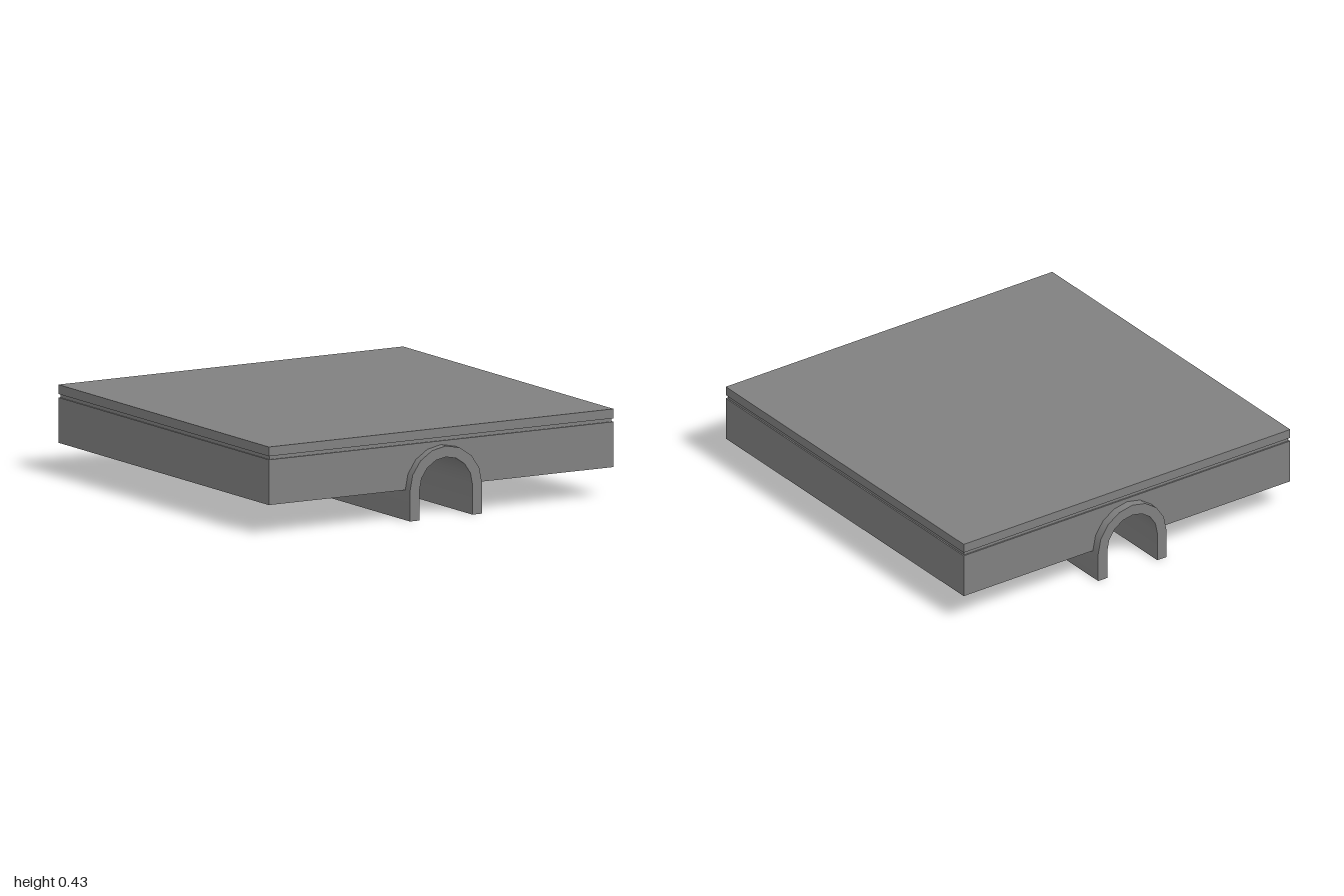
import * as THREE from 'three';
import { toCreasedNormals } from 'three/addons/utils/BufferGeometryUtils.js';

const HALF = 0.957;    // half width of the square slab
const SPRING = 0.145;  // slab underside, where the arch begins to curve
const OUTER = 0.2;     // arch radii
const INNER = 0.147;

// Points of a half circle from +x over the top to -x
function arc(radius, segments = 8) {
  return Array.from({ length: segments + 1 }, (_, i) => {
    const a = (i / segments) * Math.PI;
    return new THREE.Vector2(radius * Math.cos(a), SPRING + radius * Math.sin(a));
  });
}

// Extrude a front outline along z, centred on z = 0
function extrude(points, depth) {
  const geometry = new THREE.ExtrudeGeometry(new THREE.Shape(points), { depth, bevelEnabled: false });
  geometry.translate(0, 0, -depth / 2);
  return toCreasedNormals(geometry, Math.PI / 6);
}

export function createModel() {
  const group = new THREE.Group();
  const grey = new THREE.MeshStandardMaterial({ color: 0x808080 });
  grey.name = 'grey';

  function add(name, geometry) {
    const mesh = new THREE.Mesh(geometry, grey);
    mesh.name = name;
    group.add(mesh);
  }

  function plate(name, half, bottom, top) {
    const geometry = new THREE.BoxGeometry(half * 2, top - bottom, half * 2);
    geometry.translate(0, (bottom + top) / 2, 0);
    add(name, geometry);
  }

  // Slab with a tunnel cut for the arch
  const v = (x, y) => new THREE.Vector2(x, y);
  add('slab', extrude([
    v(HALF, SPRING), v(HALF, 0.363), v(-HALF, 0.363), v(-HALF, SPRING),
    ...arc(OUTER).reverse(),
  ], HALF * 2));

  // Recessed groove and top plate
  plate('groove', HALF - 0.007, 0.363, 0.38);
  plate('topPlate', HALF, 0.38, 0.425);

  // Arched channel running front to back, open below
  add('archChannel', extrude([
    v(OUTER, 0), ...arc(OUTER), v(-OUTER, 0),
    v(-INNER, 0), ...arc(INNER).reverse(), v(INNER, 0),
  ], 2));

  return group;
}
